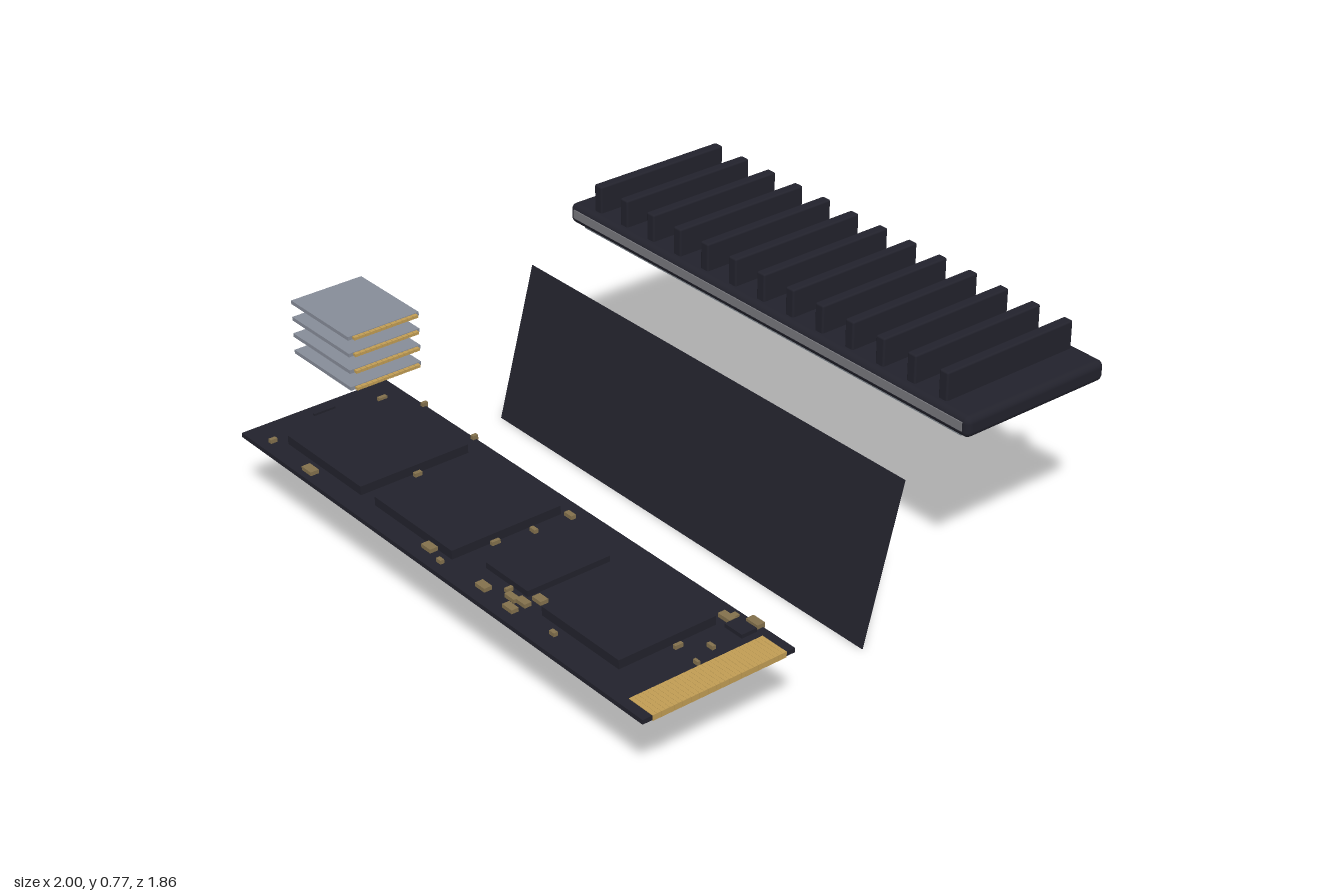
import * as THREE from 'three';
import { RoundedBoxGeometry } from 'three/addons/geometries/RoundedBoxGeometry.js';

const paint = (name, color) => {
  const m = new THREE.MeshStandardMaterial({ color });
  m.name = name;
  return m;
};

export function createModel() {
  const model = new THREE.Group();
  const dark = paint('dark anodised', 0x22222c);
  const gold = paint('gold contact', 0xc09c54);
  const tan = paint('component tan', 0x82704c);
  const silicon = paint('silicon grey', 0x868c98);
  const padGrey = paint('thermal pad grey', 0x7d848c);
  const steel = paint('bare edge grey', 0x77777c);

  const group = (name) => {
    const g = new THREE.Group();
    g.name = name;
    model.add(g);
    return g;
  };
  // Box given by its extents on each axis
  const box = (parent, name, mat, [x0, x1], [y0, y1], [z0, z1], radius = 0) => {
    const size = [x1 - x0, y1 - y0, z1 - z0];
    const geo = radius ? new RoundedBoxGeometry(...size, 4, radius) : new THREE.BoxGeometry(...size);
    const mesh = new THREE.Mesh(geo, mat);
    mesh.name = name;
    mesh.position.set((x0 + x1) / 2, (y0 + y1) / 2, (z0 + z1) / 2);
    parent.add(mesh);
    return mesh;
  };

  // Circuit board with gold edge fingers
  const board = group('circuitBoard');
  box(board, 'boardPlate', dark, [-1, 0.998], [0.24, 0.255], [0.38, 0.925]);
  const fingers = 32, z0 = 0.412, pitch = (0.892 - z0) / fingers;
  for (let i = 0; i < fingers; i++) {
    const z = z0 + i * pitch;
    box(board, 'edgeFinger', gold, [0.897, 1], [0.238, 0.257], [z, z + pitch * 0.95]);
  }

  // Flat chip packages
  const chips = [
    ['memoryChip', -0.85, -0.45, 0.45, 0.85, 0.285],
    ['memoryChip', -0.375, 0.02, 0.45, 0.85, 0.285],
    ['bufferChip', 0.12, 0.32, 0.5, 0.8, 0.275],
    ['controllerChip', 0.42, 0.77, 0.475, 0.825, 0.285],
    ['regulatorChip', 0.795, 0.87, 0.41, 0.465, 0.268],
    ['tinyChip', -0.955, -0.945, 0.61, 0.69, 0.262],
  ];
  for (const [name, xa, xb, za, zb, top] of chips) box(board, name, dark, [xa, xb], [0.25, top], [za, zb]);

  // Small surface components: x, z, width, depth
  const parts = [
    [-0.895, 0.465, 0.014, 0.03], [-0.78, 0.383, 0.012, 0.02], [-0.51, 0.383, 0.014, 0.02],
    [0.05, 0.438, 0.035, 0.018], [0.048, 0.572, 0.025, 0.014], [-0.437, 0.65, 0.014, 0.026],
    [0.03, 0.7, 0.012, 0.03], [-0.86, 0.8, 0.02, 0.012], [-0.89, 0.88, 0.014, 0.024],
    [-0.665, 0.89, 0.05, 0.03], [-0.07, 0.866, 0.045, 0.028], [0.01, 0.885, 0.022, 0.014],
    [0.2, 0.868, 0.045, 0.028], [0.26, 0.822, 0.012, 0.025], [0.3, 0.84, 0.045, 0.022],
    [0.34, 0.83, 0.045, 0.025], [0.34, 0.876, 0.045, 0.025], [0.36, 0.785, 0.04, 0.028],
    [0.52, 0.86, 0.022, 0.014], [0.767, 0.432, 0.05, 0.026], [0.777, 0.412, 0.02, 0.02],
    [0.838, 0.387, 0.05, 0.028], [0.79, 0.63, 0.012, 0.028], [0.725, 0.474, 0.06, 0.01],
    [0.85, 0.56, 0.025, 0.012], [0.885, 0.642, 0.02, 0.01],
  ];
  for (const [x, z, w, d] of parts) {
    box(board, 'surfaceComponent', tan, [x - w / 2, x + w / 2], [0.25, 0.268], [z - d / 2, z + d / 2]);
  }

  // Four floating dies, each with a row of bond pads along its left edge
  const stack = group('dieStack');
  for (const y of [0.595, 0.652, 0.708, 0.764]) {
    box(stack, 'die', silicon, [-0.803, -0.498], [y - 0.006, y + 0.006], [0.577, 0.832]);
    for (let i = 0; i < 12; i++) {
      const z = 0.588 + i * 0.0192;
      box(stack, 'bondPad', gold, [-0.498, -0.485], [y - 0.005, y + 0.004], [z, z + 0.0175]);
    }
  }

  // Leaning label sheet
  const label = new THREE.Mesh(new THREE.BoxGeometry(1.775, 0.542, 0.003), dark);
  label.name = 'labelSheet';
  label.position.set(-0.0375, 0.262, -0.093);
  label.rotation.x = -Math.atan2(0.145, 0.523);
  model.add(label);

  // Finned heat spreader with a thermal pad beneath
  const sink = group('heatSpreader');
  box(sink, 'spreaderBase', dark, [-0.975, 0.898], [0.602, 0.672], [-0.93, -0.36], 0.022);
  box(sink, 'frontEdgeStrip', steel, [-0.95, 0.875], [0.625, 0.655], [-0.364, -0.357]);
  for (let i = 0; i < 13; i++) {
    const x = -0.858 + i * 0.135;
    box(sink, 'fin', dark, [x - 0.018, x + 0.018], [0.66, 0.766], [-0.905, -0.388], 0.006);
  }
  box(sink, 'thermalPad', padGrey, [-0.925, 0.848], [0.589, 0.606], [-0.905, -0.385]);

  return model;
}
